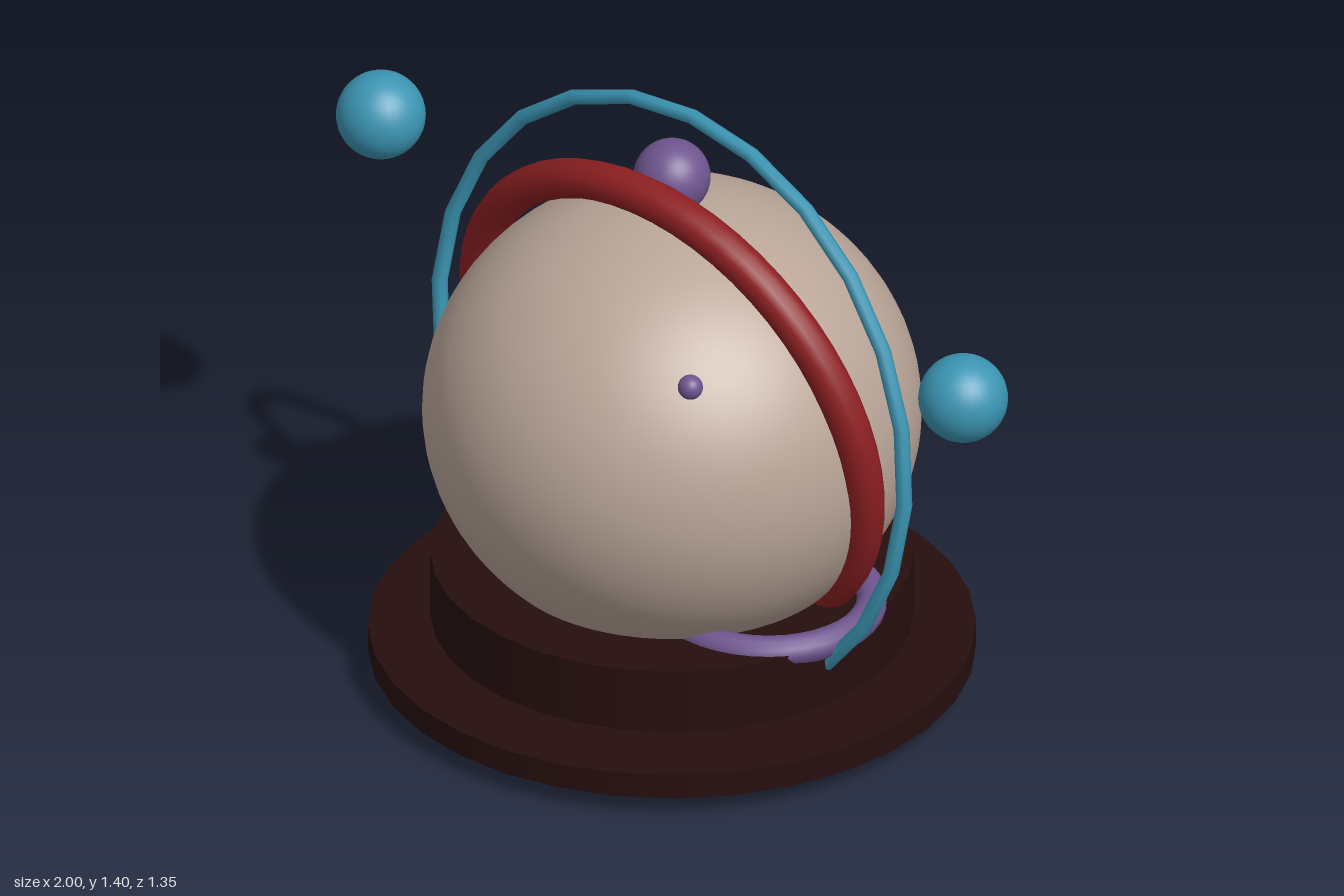
import * as THREE from 'three';

const mat = (name, color) => {
  const m = new THREE.MeshStandardMaterial({ color });
  m.name = name;
  return m;
};

export function createModel() {
  const beige = mat('beige', 0xb9a598);
  const darkWood = mat('dark wood', 0x260e0e);
  const red = mat('red', 0x8e1f22);
  const blue = mat('blue', 0x3b95b3);
  const purple = mat('purple', 0x6f558f);

  const group = new THREE.Group();
  const add = (name, geometry, material, x, y, z) => {
    const mesh = new THREE.Mesh(geometry, material);
    mesh.name = name;
    mesh.position.set(x, y, z);
    group.add(mesh);
    return mesh;
  };
  const ball = (r) => new THREE.SphereGeometry(r, 32, 20);

  // Two-step base with a narrow gap between the discs
  add('basePlate', new THREE.CylinderGeometry(0.675, 0.675, 0.06, 32), darkWood, 0, 0.08, 0);
  add('baseDrum', new THREE.CylinderGeometry(0.537, 0.537, 0.155, 32), darkWood, 0, 0.2175, 0);

  // Slightly flattened globe
  add('globe', new THREE.SphereGeometry(0.555, 64, 40), beige, 0, 0.662, 0).scale.y = 0.935;

  // Knob on top and small studs on the globe
  add('topKnob', ball(0.086), purple, 0, 1.255, 0);
  add('frontStud', ball(0.028), purple, 0.34, 0.973, 0.292);
  add('sideStud', ball(0.028), purple, -0.495, 0.905, 0);

  // Tilted rings around the globe
  const inner = add('innerRing', new THREE.TorusGeometry(0.562, 0.045, 14, 56), red, 0, 0.7, 0);
  inner.rotation.set(0.185, 0.05, 0);
  const outer = add('outerRing', new THREE.TorusGeometry(0.718, 0.018, 8, 24), blue, 0, 0.7, 0);
  outer.rotation.x = -0.095;
  outer.scale.y = 0.953;

  // Mirrored side parts: flat cradle rings and floating balls
  for (const s of [1, -1]) {
    const cradle = add('cradleRing', new THREE.TorusGeometry(0.23, 0.035, 12, 40), purple, s * 0.298, 0.29, 0);
    cradle.rotation.x = Math.PI / 2;
    add('sideBall', ball(0.1), blue, s * 0.9, 1.05, 0);
  }
  return group;
}
